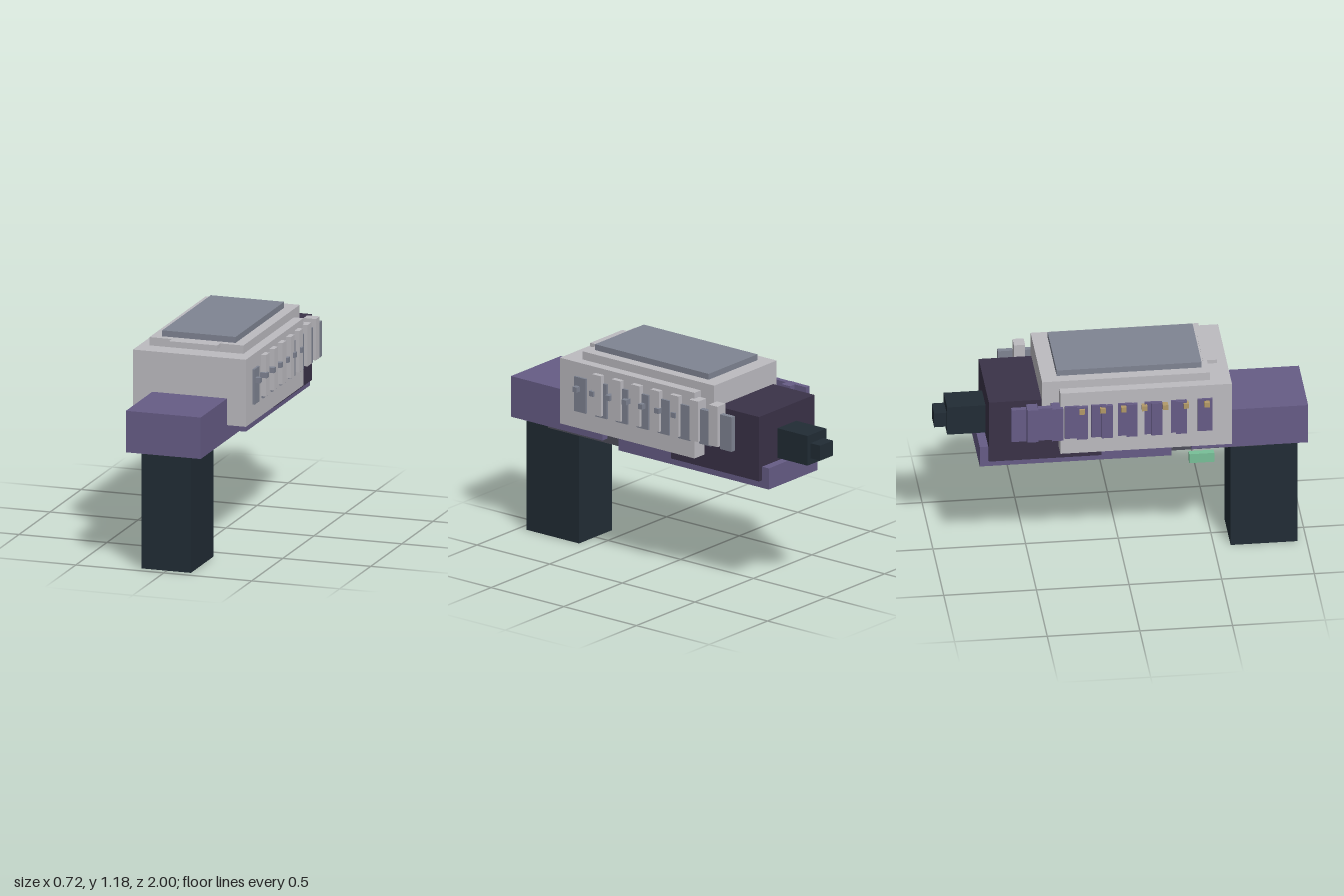
import * as THREE from 'three';

const mat = (name, color) => {
  const m = new THREE.MeshStandardMaterial({ color });
  m.name = name;
  return m;
};

export function createModel() {
  const model = new THREE.Group();
  model.name = 'blaster';

  const shell = mat('pale grey', 0xbcbbc0);
  const slate = mat('slate grey', 0x7f8492);
  const purple = mat('purple', 0x665c86);
  const plum = mat('dark plum', 0x3a3248);
  const navy = mat('dark navy', 0x212c35);
  const iron = mat('iron grey', 0x4d4d5a);
  const green = mat('green', 0x78c098);
  const gold = mat('gold', 0xb39a68);

  // box given by its extents on each axis
  const box = (name, m, [x0, x1], [y0, y1], [z0, z1], parent = model) => {
    const mesh = new THREE.Mesh(new THREE.BoxGeometry(x1 - x0, y1 - y0, z1 - z0), m);
    mesh.position.set((x0 + x1) / 2, (y0 + y1) / 2, (z0 + z1) / 2);
    mesh.name = name;
    parent.add(mesh);
  };

  // row of equal boxes along the side, from zStart towards the muzzle
  const row = (name, m, x, y, depth, zStart, step, count) => {
    const group = new THREE.Group();
    group.name = name + 'Row';
    for (let i = 0; i < count; i++) {
      const z = zStart - i * step;
      box(name, m, x, y, [z - depth / 2, z + depth / 2], group);
    }
    model.add(group);
  };

  // grip, rear block and underside
  box('grip', navy, [-0.143, 0.137], [0, 0.652], [0.59, 0.95]);
  box('rearBlock', purple, [-0.215, 0.21], [0.65, 0.88], [0.37, 1.0]);
  box('underRail', iron, [-0.17, 0.165], [0.622, 0.667], [0.24, 0.78]);
  box('lowerFrame', purple, [-0.212, 0.206], [0.617, 0.737], [-0.772, 0.262]);
  box('trigger', green, [-0.204, -0.169], [0.557, 0.612], [0.36, 0.495]);

  // body with stepped top
  box('body', shell, [-0.325, 0.317], [0.732, 1.104], [-0.35, 0.576]);
  box('upperBody', shell, [-0.271, 0.263], [0.9, 1.15], [-0.442, 0.463]);
  box('sightTab', shell, [-0.142, 0.133], [1.131, 1.152], [0.44, 0.516]);
  box('topPlate', slate, [-0.212, 0.205], [1.14, 1.183], [-0.357, 0.425]);

  // barrel housing and muzzle
  box('barrelHousing', plum, [-0.24, 0.232], [0.66, 1.025], [-0.726, -0.118]);
  box('barrel', navy, [-0.085, 0.075], [0.752, 0.92], [-0.933, -0.7]);
  box('muzzle', navy, [-0.06, 0.05], [0.788, 0.873], [-1.0, -0.92]);

  // left side: pale ribs, slate slats and studs
  row('leftRib', shell, [0.275, 0.345], [0.842, 1.071], 0.06, 0.302, 0.1337, 7);
  row('leftSlat', slate, [0.3, 0.329], [0.829, 1.025], 0.08, 0.43, 0.1435, 8);
  row('leftStud', slate, [0.312, 0.356], [0.947, 0.976], 0.029, 0.444, 0.1125, 7);

  // right side: purple ribs and slats, gold studs
  row('rightRib', purple, [-0.346, -0.275], [0.825, 1.022], 0.06, 0.302, 0.1337, 7);
  row('rightSlat', purple, [-0.337, -0.308], [0.829, 1.025], 0.08, 0.43, 0.1435, 8);
  row('rightStud', gold, [-0.36, -0.32], [0.986, 1.015], 0.029, 0.439, 0.1125, 7);

  return model;
}
